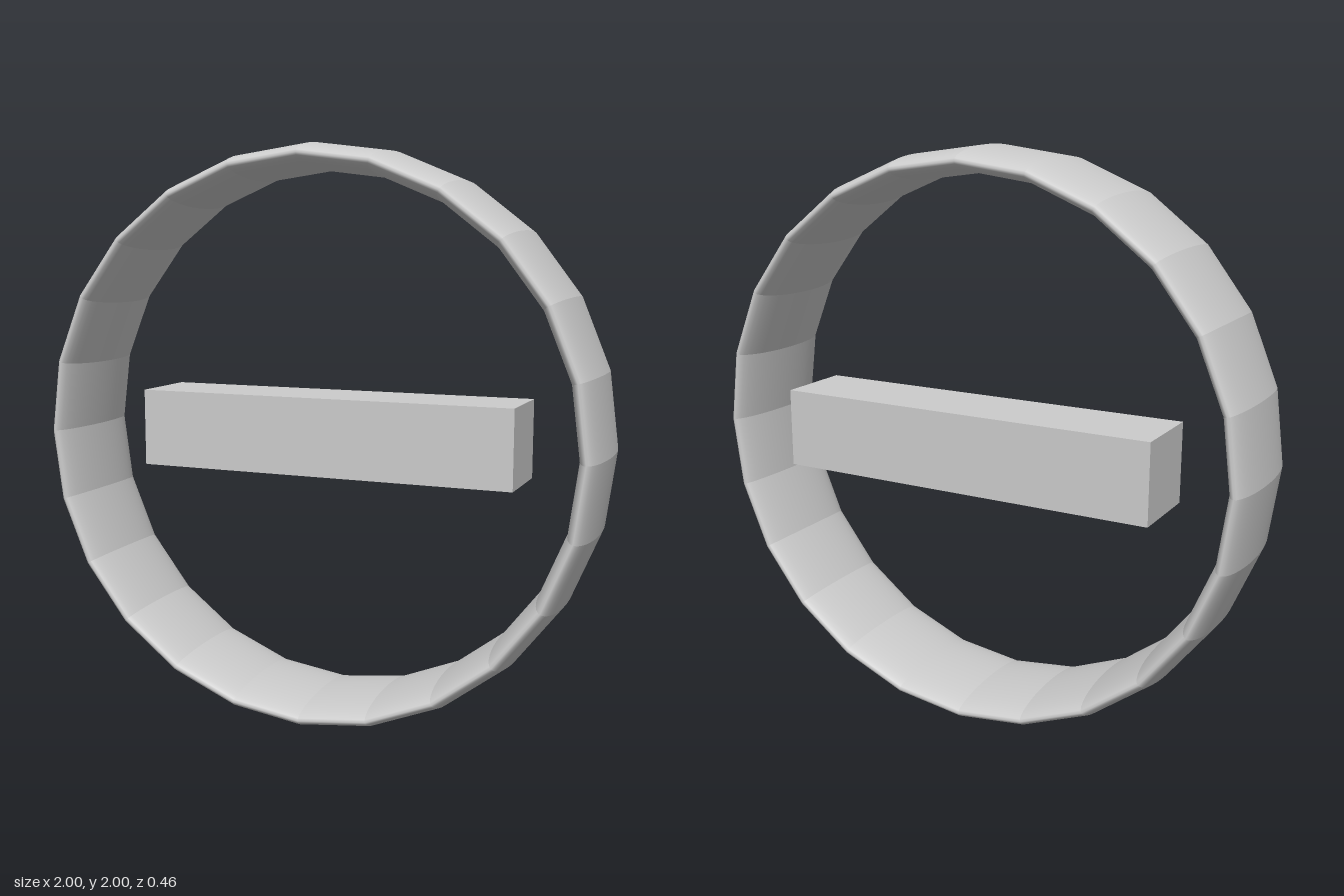
import * as THREE from 'three';

const RADIUS = 0.955;     // ring centre line
const THICK = 0.045;      // half thickness of the band, radially
const HALF_WIDTH = 0.229; // half width of the band, along z
const SEGMENTS = 24;

// Band with an elliptical section: smooth across its width, faceted around the ring
function bandGeometry() {
  const sides = 32;
  const geo = new THREE.TorusGeometry(RADIUS, THICK, sides, SEGMENTS)
    .scale(1, 1, HALF_WIDTH / THICK)
    .toNonIndexed();
  const pos = geo.attributes.position;
  const n = new THREE.Vector3();
  for (let i = 0; i < pos.count; i++) {
    // six vertices per quad, all sharing the direction of their ring segment
    const segment = Math.floor(i / 6) % SEGMENTS;
    const a = ((segment + 0.5) / SEGMENTS) * Math.PI * 2;
    const radial = (Math.hypot(pos.getX(i), pos.getY(i)) - RADIUS) / THICK ** 2;
    n.set(Math.cos(a) * radial, Math.sin(a) * radial, pos.getZ(i) / HALF_WIDTH ** 2).normalize();
    geo.attributes.normal.setXYZ(i, n.x, n.y, n.z);
  }
  return geo;
}

export function createModel() {
  const group = new THREE.Group();
  const material = new THREE.MeshStandardMaterial({ color: 0xcccccc });

  // Upright outer ring
  const ring = new THREE.Mesh(bandGeometry(), material);
  ring.name = 'ring';
  ring.position.y = 1;

  // Square bar floating inside, flush with the back of the ring
  const bar = new THREE.Mesh(new THREE.BoxGeometry(1.375, 0.275, 0.275), material);
  bar.name = 'crossBar';
  bar.position.set(0, 1.003, -0.091);

  group.add(ring, bar);
  return group;
}
